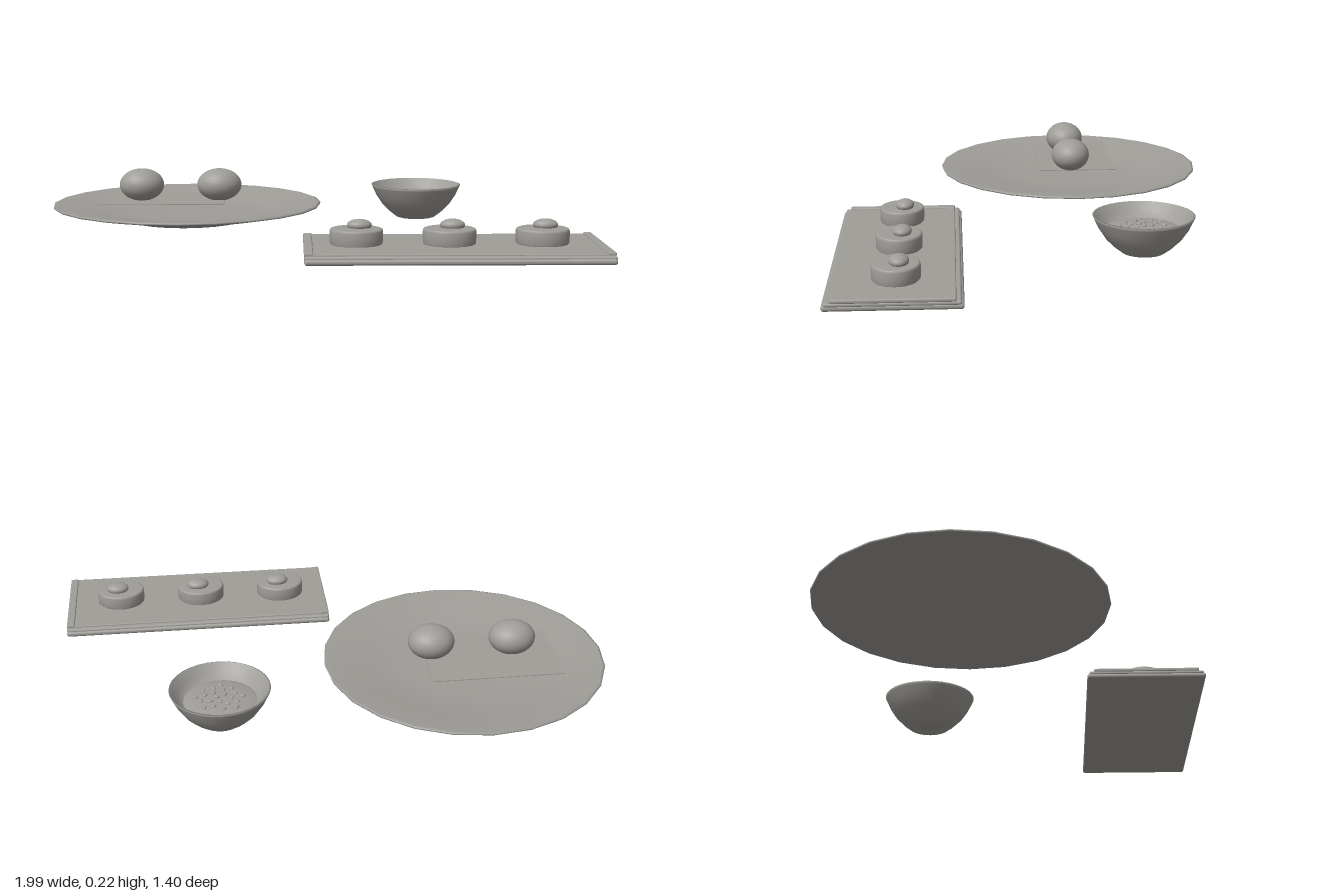
import * as THREE from 'three';
import { RoundedBoxGeometry } from 'three/addons/geometries/RoundedBoxGeometry.js';

export function createModel() {
  const root = new THREE.Group();
  const clay = new THREE.MeshStandardMaterial({ color: 0x9f9d98 });
  clay.name = 'warm grey';
  clay.side = THREE.DoubleSide;

  const add = (parent, name, geometry, x, y, z) => {
    const mesh = new THREE.Mesh(geometry, clay);
    mesh.name = name;
    mesh.position.set(x, y, z);
    parent.add(mesh);
    return mesh;
  };
  const group = (name) => {
    const g = new THREE.Group();
    g.name = name;
    root.add(g);
    return g;
  };
  const lathe = (points, sides) =>
    new THREE.LatheGeometry(points.map(([r, y]) => new THREE.Vector2(r, y)), sides);
  const ellipsoid = (rx, ry, rz, w = 28, h = 18) =>
    new THREE.SphereGeometry(1, w, h).scale(rx, ry, rz);

  // Large round plate with a shallow well and a stepped foot
  const plate = group('plate');
  add(plate, 'plateDish', lathe([
    [0, 0.03], [0.12, 0.03], [0.19, 0.021], [0.23, 0.025], [0.285, 0.043],
    [0.34, 0.049], [0.43, 0.066], [0.515, 0.083], [0.517, 0.089], [0.508, 0.092],
    [0.42, 0.079], [0.34, 0.066], [0.28, 0.058], [0.2, 0.052], [0, 0.05],
  ], 24), -0.48, 0, -0.182);

  // Thin sheet under the two balls
  add(plate, 'sheet', new THREE.BoxGeometry(0.48, 0.003, 0.31), -0.575, 0.099, -0.21);
  for (const x of [-0.658, -0.357])
    add(plate, 'ball', ellipsoid(0.086, 0.063, 0.075), x, 0.159, -0.182);

  // Small bowl with a recessed foot and raised filling
  const bowl = group('bowl');
  add(bowl, 'bowlShell', lathe([
    [0, 0.02], [0.05, 0.018], [0.06, 0.002], [0.068, 0], [0.078, 0.003],
    [0.105, 0.024], [0.135, 0.054], [0.16, 0.092], [0.175, 0.125], [0.179, 0.133],
    [0.173, 0.135], [0.155, 0.105], [0.13, 0.083], [0.1, 0.072], [0, 0.07],
  ], 32), 0.426, 0, -0.37);
  add(bowl, 'filling', lathe([
    [0.135, 0.082], [0.11, 0.09], [0.07, 0.094], [0, 0.096],
  ], 32), 0.426, 0, -0.37);

  // Scattered seeds follow a sunflower spiral
  const seed = ellipsoid(0.011, 0.006, 0.008, 8, 6);
  for (let i = 0; i < 22; i++) {
    const r = 0.089 * Math.sqrt((i + 0.4) / 22);
    const a = i * 2.4;
    const mesh = add(bowl, 'seed', seed,
      0.426 + r * Math.cos(a), 0.098 - r * 0.06, -0.37 + r * Math.sin(a));
    mesh.rotation.y = i * 1.3;
  }

  // Rectangular tray in two steps, with a low ridge at each end
  const tray = group('tray');
  add(tray, 'trayBase', new RoundedBoxGeometry(1.03, 0.02, 0.44, 3, 0.009), 0.48, 0.02, 0.48);
  add(tray, 'trayMiddle', new RoundedBoxGeometry(1.03, 0.015, 0.425, 3, 0.007), 0.48, 0.031, 0.48);
  add(tray, 'trayTop', new RoundedBoxGeometry(1.02, 0.012, 0.39, 2, 0.004), 0.48, 0.038, 0.48);
  for (const x of [-0.02, 0.98])
    add(tray, 'endRidge', new RoundedBoxGeometry(0.03, 0.014, 0.39, 2, 0.005), x, 0.042, 0.48);

  // Three round cakes, each with a small topping
  const cake = lathe([
    [0, 0.042], [0.086, 0.042], [0.091, 0.047], [0.092, 0.07], [0.092, 0.09],
    [0.089, 0.096], [0.084, 0.098], [0, 0.099],
  ], 32).scale(1, 1, 0.87);
  const topping = ellipsoid(0.043, 0.021, 0.033);
  for (const x of [0.145, 0.465, 0.785]) {
    add(tray, 'cake', cake, x, 0, 0.477);
    add(tray, 'topping', topping, x + 0.011, 0.107, 0.466);
  }

  return root;
}
